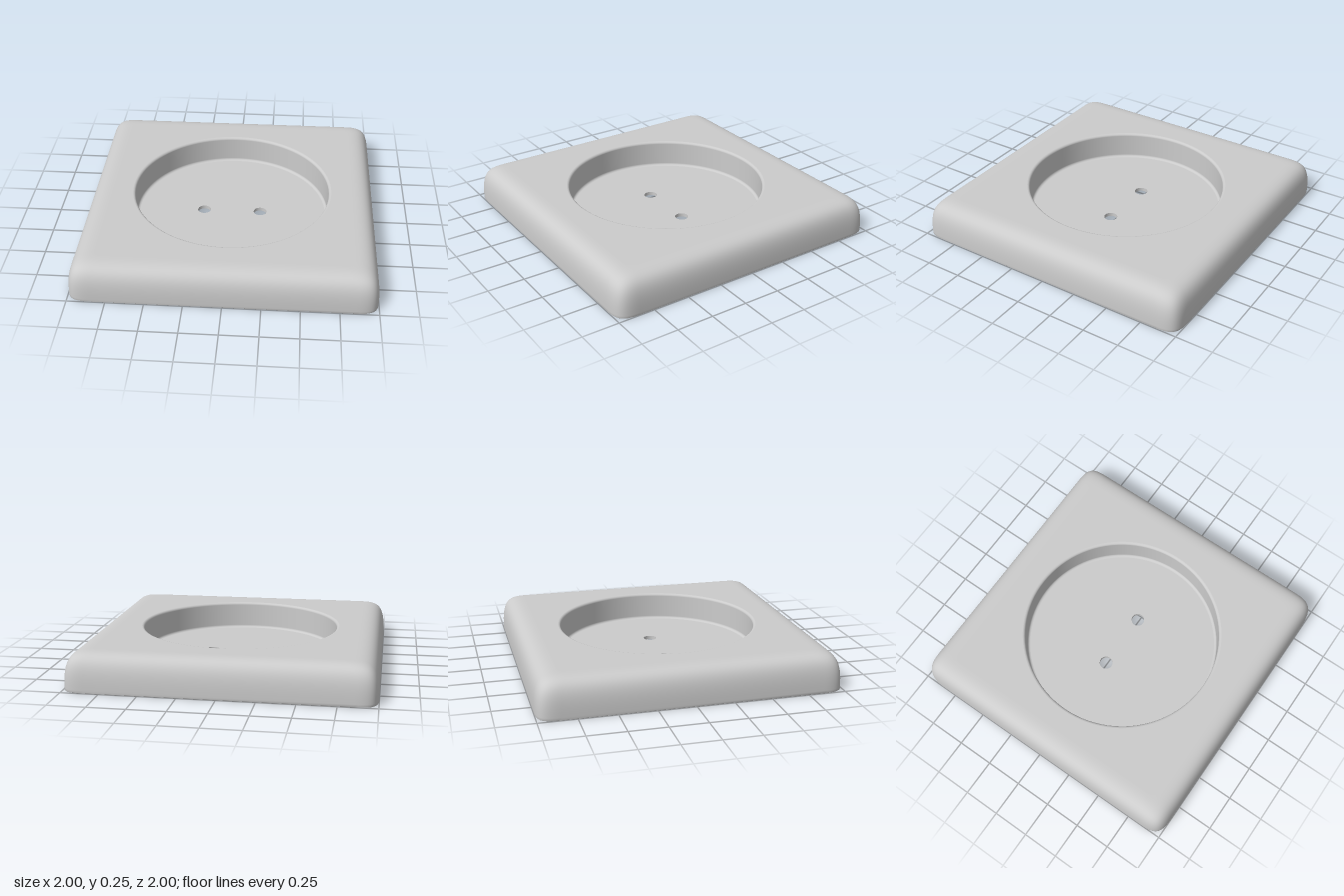
import * as THREE from 'three';

const TOP = 0.25, FLOOR = 0.055, WALL = 0.025, RECESS = 0.68, FILLET = 0.018, SHOULDER = 0.16;
const HOLE = 0.046, HOLE_X = 0.2;

const material = new THREE.MeshStandardMaterial({ color: 0xcccccc, side: THREE.DoubleSide });
const vec = (x, y) => new THREE.Vector2(x, y);

function addMesh(group, geometry, name) {
  const mesh = new THREE.Mesh(geometry, material);
  mesh.name = name;
  group.add(mesh);
  return mesh;
}

// Rounded square, counter-clockwise, with a tight soft curve at each corner
function squareOutline(inset) {
  const h = 1 - inset, c = 0.15 - inset * 0.5, k = c * 0.2, steps = 14;
  const corner = new THREE.CubicBezierCurve(vec(h, h - c), vec(h, h - k), vec(h - k, h), vec(h - c, h));
  const points = [];
  for (let side = 0; side < 4; side++) {
    for (let i = 0; i <= steps; i++) {
      points.push(corner.getPoint(i / steps).rotateAround(vec(0, 0), side * Math.PI / 2));
    }
  }
  return points;
}

// Skin through square rings; each profile point is (inset, height)
function skirtGeometry(profile) {
  const positions = [], index = [];
  const count = squareOutline(0).length;
  profile.forEach((p, r) => {
    for (const q of squareOutline(p.x)) positions.push(q.x, p.y, -q.y);
    if (r === 0) return;
    for (let i = 0; i < count; i++) {
      const j = (i + 1) % count, lo = (r - 1) * count, hi = r * count;
      index.push(lo + i, lo + j, hi + j, lo + i, hi + j, hi + i);
    }
  });
  const geometry = new THREE.BufferGeometry();
  geometry.setAttribute('position', new THREE.Float32BufferAttribute(positions, 3));
  geometry.setIndex(index);
  geometry.computeVertexNormals();
  return geometry;
}

// Side and shoulder profile, set in from the outside by an offset
function shoulderProfile(offset) {
  const top = TOP - offset;
  return new THREE.CubicBezierCurve(
    vec(offset, 0.02), vec(offset, top - 0.05), vec(offset + 0.035, top), vec(SHOULDER, top)).getPoints(18);
}

// Horizontal sheet from a shape
function sheetGeometry(shape, y) {
  return new THREE.ShapeGeometry(shape, 48).rotateX(-Math.PI / 2).translate(0, y, 0);
}

function circlePath(radius, x = 0, Type = THREE.Path) {
  return new Type().absarc(x, 0, radius, 0, Math.PI * 2, false);
}

function plateGeometry(holeRadius, y) {
  const shape = new THREE.Shape(squareOutline(SHOULDER));
  shape.holes.push(circlePath(holeRadius));
  return sheetGeometry(shape, y);
}

function floorGeometry(radius, y) {
  const shape = circlePath(radius, 0, THREE.Shape);
  for (const side of [-1, 1]) shape.holes.push(circlePath(HOLE, side * HOLE_X));
  return sheetGeometry(shape, y);
}

export function createModel() {
  const group = new THREE.Group();
  group.name = 'socketCover';

  // Skirt: down the inside, under the bottom lip and up the outside
  const lip = [vec(WALL, 0.004), vec(WALL - 0.004, 0), vec(0.004, 0), vec(0, 0.004)];
  addMesh(group, skirtGeometry([
    ...shoulderProfile(WALL).reverse(), ...lip, ...shoulderProfile(0),
  ]), 'skirt');

  // Flat face around the recess, upper and lower surface
  addMesh(group, plateGeometry(RECESS + FILLET, TOP), 'facePlate');
  addMesh(group, plateGeometry(RECESS + WALL, TOP - WALL), 'facePlateUnderside');

  // Round recess wall with small fillets at floor and rim
  const wall = [];
  for (let i = 0; i <= 5; i++) {
    const a = i / 5 * Math.PI / 2;
    wall.push(vec(RECESS - FILLET + FILLET * Math.sin(a), FLOOR + FILLET - FILLET * Math.cos(a)));
  }
  for (let i = 0; i <= 5; i++) {
    const a = i / 5 * Math.PI / 2;
    wall.push(vec(RECESS + FILLET - FILLET * Math.cos(a), TOP - FILLET + FILLET * Math.sin(a)));
  }
  addMesh(group, new THREE.LatheGeometry(wall, 96), 'recessWall');

  // Outside of the recess cup
  const cup = [vec(RECESS + WALL, FLOOR - WALL), vec(RECESS + WALL, TOP - WALL)];
  addMesh(group, new THREE.LatheGeometry(cup, 96), 'recessCupOutside');

  // Recess floor with two pin holes, upper and lower surface
  addMesh(group, floorGeometry(RECESS - FILLET, FLOOR), 'recessFloor');
  addMesh(group, floorGeometry(RECESS + WALL, FLOOR - WALL), 'recessFloorUnderside');

  // Sleeves lining the pin holes
  for (const side of [-1, 1]) {
    const sleeve = addMesh(group,
      new THREE.CylinderGeometry(HOLE, HOLE, WALL, 48, 1, true),
      side > 0 ? 'leftPinHole' : 'rightPinHole');
    sleeve.position.set(side * HOLE_X, FLOOR - WALL / 2, 0);
  }

  return group;
}
